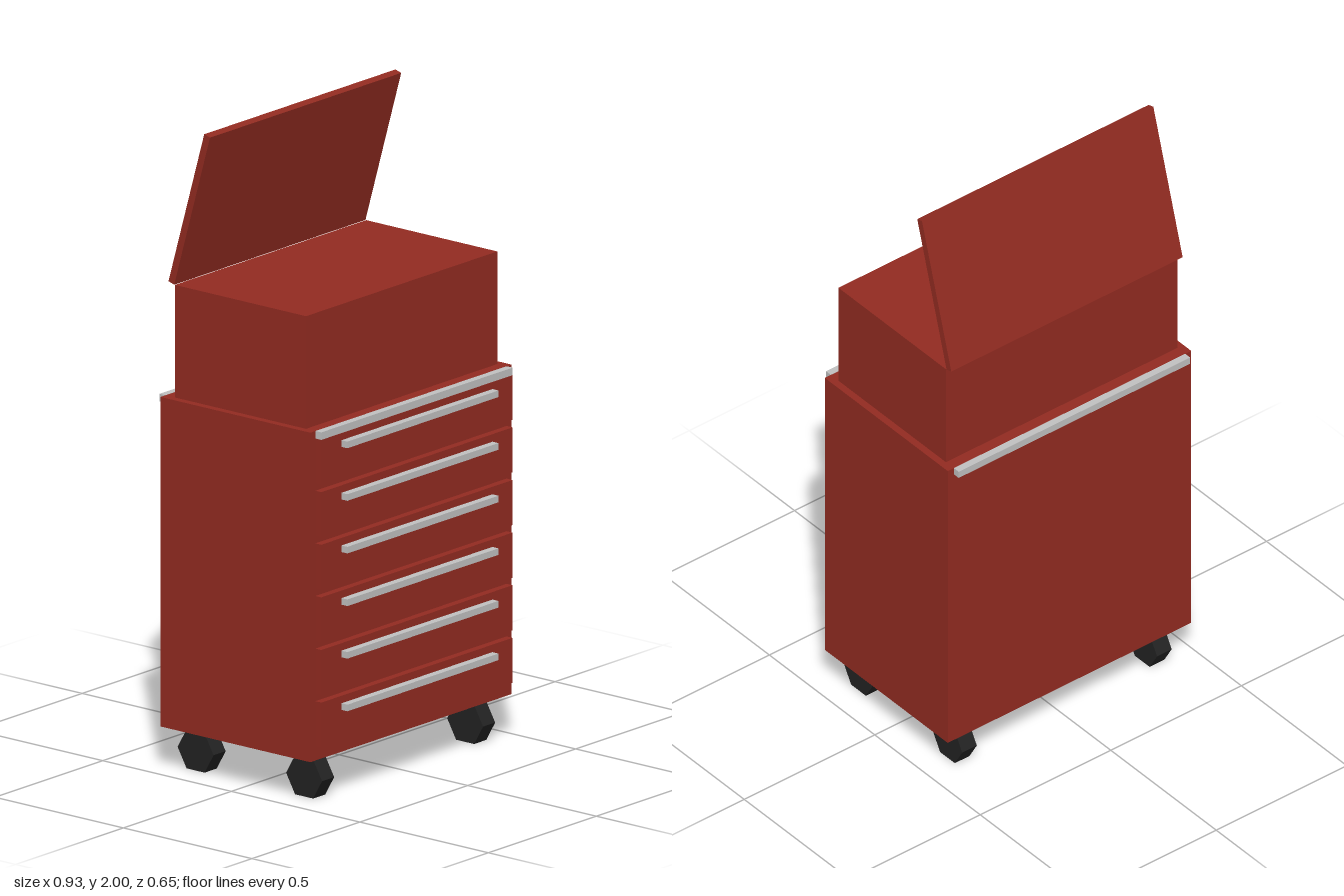
import * as THREE from 'three';

export function createModel() {
  const model = new THREE.Group();
  model.name = 'toolChest';

  const material = (name, color) => {
    const m = new THREE.MeshStandardMaterial({ color });
    m.name = name;
    return m;
  };
  const red = material('red paint', 0x922b21);
  const metal = material('bare metal', 0xc0c0c0);
  const rubber = material('black rubber', 0x222222);
  rubber.flatShading = true;

  const add = (name, geometry, mat, x, y, z) => {
    const mesh = new THREE.Mesh(geometry, mat);
    mesh.name = name;
    mesh.position.set(x, y, z);
    model.add(mesh);
    return mesh;
  };
  const box = (name, w, h, d, mat, y, z) =>
    add(name, new THREE.BoxGeometry(w, h, d), mat, 0, y, z);

  // Main cabinet and the smaller chest on top
  box('cabinet', 0.932, 1.024, 0.583, red, 0.648, -0.0125);
  box('topChest', 0.886, 0.35, 0.51, red, 1.335, -0.012);

  // Open lid, leaning forward from the rear edge
  const lid = box('lid', 0.886, 0.503, 0.0233, red, 1.755, -0.2115);
  lid.rotation.x = 0.28;

  // Metal rails along the cabinet's top edges
  box('frontRail', 0.886, 0.0233, 0.0233, metal, 1.1485, 0.2907);
  box('backRail', 0.886, 0.0233, 0.0233, metal, 1.1485, -0.3157);

  // Six drawers, each with a bar handle
  for (let i = 0; i < 6; i++) {
    const y = 0.2505 + i * 0.1635;
    // the top drawer stops beneath the front rail
    const top = i === 5 ? 1.1365 : y + 0.07;
    const bottom = y - 0.07;
    box('drawer', 0.886, top - bottom, 0.0233, red, (top + bottom) / 2, 0.2907);
    box('drawerHandle', 0.7, 0.0205, 0.0233, metal, y + 0.0365, 0.314);
  }

  // Hexagonal wheels
  const wheel = new THREE.CylinderGeometry(0.07, 0.07, 0.056, 6).rotateZ(Math.PI / 2);
  for (const x of [-0.373, 0.373]) {
    for (const z of [-0.222, 0.2]) add('wheel', wheel, rubber, x, 0.0606, z);
  }

  return model;
}
